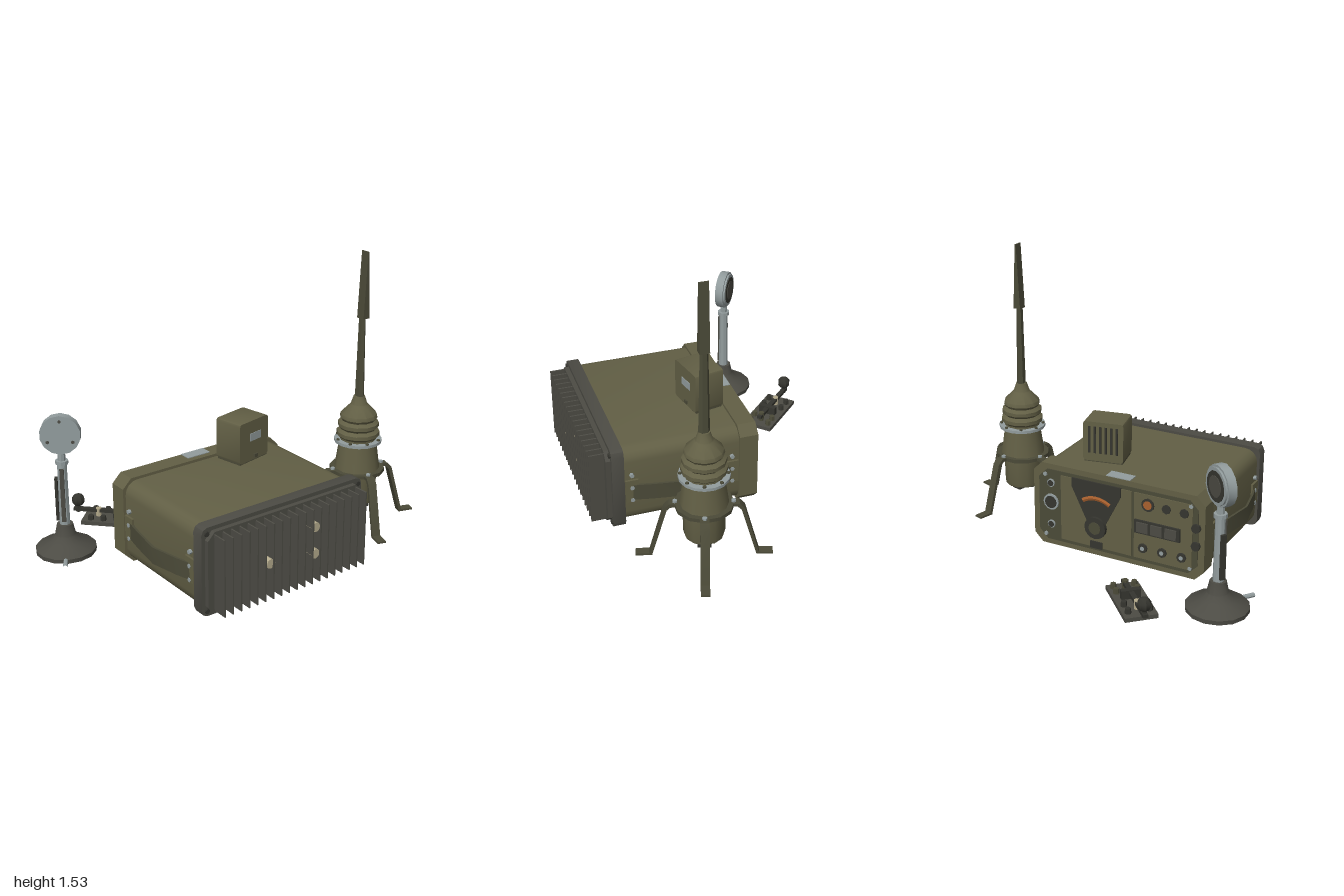
import * as THREE from 'three';
import { toCreasedNormals } from 'three/addons/utils/BufferGeometryUtils.js';

const material = (name, color) => {
  const m = new THREE.MeshStandardMaterial({ color });
  m.name = name;
  return m;
};
const olive = material('olive paint', 0x625f45);
const darkOlive = material('dark olive', 0x4b4a38);
const grey = material('heat sink grey', 0x4c4b44);
const black = material('dark fittings', 0x35352f);
const silver = material('pale metal', 0x929c9d);
const tan = material('tan plugs', 0xb3a98b);
const orange = material('orange markings', 0xa8602e);

function add(parent, name, geo, mat, x = 0, y = 0, z = 0) {
  const m = new THREE.Mesh(toCreasedNormals(geo, 0.6), mat);
  m.name = name;
  m.position.set(x, y, z);
  parent.add(m);
  return m;
}
function group(parent, name, x = 0, y = 0, z = 0, turn = 0) {
  const g = new THREE.Group();
  g.name = name;
  g.position.set(x, y, z);
  g.rotation.y = turn;
  parent.add(g);
  return g;
}
const box = (w, h, d) => new THREE.BoxGeometry(w, h, d);
const cyl = (top, bottom, h, sides = 12) => new THREE.CylinderGeometry(top, bottom, h, sides);
const discZ = (r, h, sides = 12) => cyl(r, r, h, sides).rotateX(Math.PI / 2);
const lathe = (pts, sides) => new THREE.LatheGeometry(pts.map(p => new THREE.Vector2(...p)), sides);
const plate = (pts, depth) => new THREE.ExtrudeGeometry(
  new THREE.Shape(pts.map(p => new THREE.Vector2(...p))), { depth, bevelEnabled: false });

// Centred rectangle with cut or stepped-round corners, extruded along z
function slab(w, h, c, depth, steps = 1) {
  const pts = [];
  [[1, 1], [-1, 1], [-1, -1], [1, -1]].forEach(([sx, sy], q) => {
    for (let i = 0; i <= steps; i++) {
      const a = (q + i / steps) * Math.PI / 2;
      pts.push([sx * (w / 2 - c) + c * Math.cos(a), sy * (h / 2 - c) + c * Math.sin(a)]);
    }
  });
  return plate(pts, depth);
}

function buildRadio(root) {
  const g = group(root, 'radio', -0.16, 0.245, 0);
  add(g, 'case', slab(0.97, 0.44, 0.07, 0.62, 4), olive, 0, 0, -0.07);
  add(g, 'panelBezel', slab(1.0, 0.47, 0.05, 0.1), olive, 0, 0, -0.17);
  add(g, 'rearFlange', slab(1.0, 0.47, 0.035, 0.065, 2), grey, 0, 0, 0.55);

  // Heat sink with vertical fins
  add(g, 'sinkPlate', slab(0.96, 0.43, 0.04, 0.025), grey, 0, 0, 0.615);
  for (let i = 0; i < 19; i++)
    add(g, 'fin', slab(0.007, 0.41, 0.003, 0.085), grey, -0.44 + i * 0.88 / 18, 0, 0.635);
  for (const [x, y] of [[-0.16, -0.01], [0.12, 0.1], [0.12, -0.045]])
    add(g, 'plug', discZ(0.026, 0.085, 8), tan, x, y, 0.67);
  for (const sx of [-1, 1]) for (const sy of [-1, 1])
    add(g, 'cornerBolt', discZ(0.013, 0.012, 8), black, sx * 0.472, sy * 0.205, 0.618);

  // Bowed strap handles on both sides
  for (const s of [-1, 1]) {
    const path = [[0.495, 0.03], [0.52, -0.06], [0.55, -0.22], [0.52, -0.4], [0.495, -0.52]];
    const band = [...path, ...path.map(([x, z]) => [x - 0.012, z]).reverse()];
    const strap = add(g, 'strapHandle', plate(band, 0.09).rotateX(-Math.PI / 2), darkOlive, 0, -0.075, 0);
    if (s < 0) {
      strap.position.z = 0.49;
      strap.rotation.y = Math.PI;
    }
    for (const z of [-0.03, 0.51]) {
      add(g, 'strapMount', box(0.012, 0.13, 0.07), olive, s * 0.492, -0.02, z);
      for (const y of [-0.075, 0, 0.075])
        add(g, 'strapScrew', cyl(0.012, 0.012, 0.016, 6).rotateZ(Math.PI / 2), silver, s * 0.494, y, z);
    }
  }
  add(g, 'topLabel', box(0.14, 0.006, 0.065), silver, -0.005, 0.236, -0.135);
  buildPanel(g);
}

// Control panel, facing -z; coordinates relative to the radio
function buildPanel(radio) {
  const g = group(radio, 'controlPanel', 0, 0, -0.17);
  add(g, 'panelFace', slab(0.93, 0.41, 0.05, 0.008), darkOlive, 0, 0, -0.005);
  add(g, 'tuningSection', box(0.42, 0.37, 0.008), olive, 0.12, 0, -0.006);
  add(g, 'switchSection', box(0.33, 0.37, 0.008), olive, -0.27, 0, -0.006);
  add(g, 'dialWindow', plate([[-0.03, 0.19], [-0.03, 0.14], [0.06, -0.04], [0.17, -0.04], [0.26, 0.14], [0.26, 0.19]], 0.008),
    black, 0, 0, -0.015);
  const arc = add(g, 'dialScale', new THREE.TorusGeometry(0.14, 0.012, 4, 10, 1.2), orange, 0.115, -0.04, -0.015);
  arc.rotation.z = Math.PI / 2 - 0.6;
  arc.scale.z = 0.4;
  add(g, 'tuningKnob', discZ(0.062, 0.025, 16), black, 0.115, -0.065, -0.018);
  add(g, 'tuningKnobCap', discZ(0.035, 0.008, 12), darkOlive, 0.115, -0.065, -0.031);
  add(g, 'namePlate', box(0.07, 0.04, 0.008), black, 0.115, -0.17, -0.012);
  // Connectors on the side of the dial
  for (const [y, r] of [[0.13, 0.022], [0.02, 0.045], [-0.11, 0.022]]) {
    add(g, 'socketRing', discZ(r, 0.014), silver, 0.39, y, -0.007);
    add(g, 'socketCore', discZ(r * 0.78, 0.018), black, 0.39, y, -0.008);
  }
  // Three-button block and rows of small controls
  add(g, 'buttonBlock', box(0.26, 0.075, 0.012), black, -0.24, 0.0, -0.014);
  for (let i = 0; i < 3; i++) {
    add(g, 'button', box(0.065, 0.055, 0.012), grey, -0.16 - i * 0.08, 0, -0.022);
    add(g, 'lowerKnob', discZ(0.026, 0.018, 8), black, -0.16 - i * 0.11, -0.12, -0.013);
    add(g, 'lowerKnobCap', discZ(0.012, 0.022, 8), silver, -0.16 - i * 0.11, -0.12, -0.014);
  }
  add(g, 'lampRing', discZ(0.036, 0.014), black, -0.185, 0.13, -0.01);
  add(g, 'lamp', discZ(0.024, 0.018), orange, -0.185, 0.13, -0.011);
  for (const [x, y] of [[-0.29, 0.13], [-0.39, 0.13], [-0.455, 0.06], [-0.455, -0.04]])
    add(g, 'smallSocket', discZ(0.025, 0.018, 8), black, x, y, -0.009);
  for (const sx of [-1, 1]) for (const sy of [-1, 1])
    add(g, 'panelScrew', discZ(0.012, 0.012, 6), silver, sx * 0.425, sy * 0.175, -0.006);
}

function buildTopBox(root) {
  const g = group(root, 'speakerBox', 0.01, 0.485, 0.045, 0.2);
  add(g, 'boxBody', slab(0.22, 0.22, 0.014, 0.165, 2), olive, 0, 0.115, -0.0825);
  add(g, 'boxFoot', box(0.21, 0.012, 0.155), darkOlive, 0, 0.004, 0);
  add(g, 'boxLabel', box(0.085, 0.042, 0.006), silver, 0.01, 0.135, 0.083);
  add(g, 'boxCatch', box(0.025, 0.02, 0.012), darkOlive, 0.01, 0.025, 0.084);
  for (let i = 0; i < 6; i++)
    add(g, 'vent', box(0.012, 0.15, 0.008), black, -0.075 + i * 0.03, 0.125, -0.082);
}

function buildAntenna(root) {
  const g = group(root, 'antenna', 0.66, 0, 0.232, -0.3);
  add(g, 'antennaBase', lathe([[0, 0.13], [0.1, 0.13], [0.105, 0.15], [0.108, 0.3], [0.125, 0.31],
    [0.122, 0.33], [0.102, 0.47], [0, 0.47]], 12), olive);
  add(g, 'bellows', lathe([[0, 0.48], [0.1, 0.485], [0.1, 0.5], [0.117, 0.515], [0.117, 0.535], [0.097, 0.55],
    [0.112, 0.565], [0.112, 0.585], [0.092, 0.6], [0.102, 0.615], [0.098, 0.635], [0.05, 0.685],
    [0.045, 0.69], [0.03, 0.735], [0, 0.735]], 12), olive);
  add(g, 'legCollar', cyl(0.15, 0.15, 0.02), darkOlive, 0, 0.312, 0);
  add(g, 'clampRing', cyl(0.13, 0.13, 0.016, 16), silver, 0, 0.482, 0);
  add(g, 'cableBox', box(0.06, 0.05, 0.07), black, 0.03, 0.108, 0);
  add(g, 'cablePlug', cyl(0.022, 0.022, 0.03, 8), black, -0.04, 0.12, 0.02);
  for (let i = 0; i < 8; i++) {
    const a = i * Math.PI / 4;
    add(g, 'ringBolt', cyl(0.009, 0.009, 0.012, 6), darkOlive, 0.118 * Math.cos(a), 0.492, 0.118 * Math.sin(a));
  }
  // Four bent strip legs
  const strip = [[0.1, 0.305], [0.165, 0.305], [0.185, 0.285], [0.262, 0.01], [0.345, 0.01],
    [0.345, 0.02], [0.275, 0.022], [0.202, 0.293], [0.175, 0.322], [0.1, 0.322]];
  for (let i = 0; i < 4; i++) {
    const leg = group(g, 'leg', 0, 0, 0, i * Math.PI / 2);
    add(leg, 'legStrip', plate(strip, 0.046), darkOlive, 0, 0, -0.023);
    add(leg, 'legBolt', cyl(0.013, 0.013, 0.014, 6), silver, 0.145, 0.325, 0);
  }
  // Two-stage whip with a blade-like tip
  const whip = group(g, 'whip', 0, 0, 0, 0.3);
  add(whip, 'lowerWhip', cyl(0.021, 0.03, 0.46, 6).scale(0.75, 1, 1), darkOlive, 0, 0.95, 0);
  const blade = box(0.042, 0.36, 0.05);
  const p = blade.attributes.position;
  for (let i = 0; i < p.count; i++) if (p.getY(i) > 0) p.setX(i, p.getX(i) * 0.15);
  blade.computeVertexNormals();
  add(whip, 'upperWhip', blade, darkOlive, 0.004, 1.35, 0.003);
}

function buildStand(root) {
  const g = group(root, 'microphoneStand', -0.83, 0, -0.385);
  add(g, 'standBase', lathe([[0, 0.012], [0.16, 0.012], [0.162, 0.035], [0.15, 0.045], [0.085, 0.075],
    [0.055, 0.11], [0.042, 0.17], [0, 0.17]], 14), grey);
  for (let i = 0; i < 3; i++) {
    const a = i * Math.PI * 2 / 3;
    add(g, 'baseFoot', cyl(0.018, 0.018, 0.015, 8), black, 0.12 * Math.cos(a), 0.0075, 0.12 * Math.sin(a));
  }
  const cable = new THREE.LineCurve3(new THREE.Vector3(-0.07, 0.03, 0.12), new THREE.Vector3(-0.115, 0.025, 0.19));
  add(g, 'cableStub', new THREE.TubeGeometry(cable, 1, 0.012, 8), silver);
  const top = group(g, 'microphone', 0, 0, 0, -0.63);
  add(top, 'post', cyl(0.025, 0.028, 0.36, 10), silver, 0, 0.35, 0);
  add(top, 'postCollar', cyl(0.034, 0.034, 0.02, 10), silver, 0, 0.52, 0);
  add(top, 'neck', cyl(0.02, 0.02, 0.07, 8), silver, 0, 0.55, 0);
  add(top, 'talkBar', box(0.014, 0.24, 0.028), black, -0.035, 0.31, 0);
  add(top, 'postStrip', box(0.022, 0.3, 0.012), grey, 0, 0.34, 0.026);
  // Round head: pale shell, dark grille at the back
  add(top, 'headShell', discZ(0.106, 0.046, 14), silver, 0, 0.675, 0);
  add(top, 'headRim', discZ(0.095, 0.012, 14), silver, 0, 0.675, -0.027);
  add(top, 'grille', discZ(0.078, 0.006, 14), black, 0, 0.675, -0.033);
  add(top, 'grilleCore', discZ(0.055, 0.006, 12), grey, 0, 0.675, -0.036);
  for (let i = 0; i < 3; i++) {
    const a = Math.PI / 2 + i * Math.PI * 2 / 3;
    add(top, 'headScrew', discZ(0.009, 0.008, 6), grey, 0.075 * Math.cos(a), 0.675 + 0.075 * Math.sin(a), 0.023);
  }
}

function buildKey(root) {
  // Local -x points toward the finger knob
  const g = group(root, 'signalKey', -0.437, 0, -0.537, -0.8);
  add(g, 'keyBase', box(0.34, 0.022, 0.17), grey, 0, 0.022, 0);
  add(g, 'keyArm', box(0.37, 0.018, 0.026), black, -0.045, 0.066, 0);
  add(g, 'armPivot', box(0.03, 0.05, 0.1), black, 0.02, 0.055, 0);
  add(g, 'knobStem', cyl(0.012, 0.012, 0.05, 6), black, -0.205, 0.075, 0);
  add(g, 'fingerKnob', new THREE.SphereGeometry(0.037, 8, 5), black, -0.205, 0.12, 0);
  for (const z of [-0.055, 0.055]) for (const x of [-0.12, -0.05, 0.08, 0.135])
    add(g, 'terminal', cyl(0.015, 0.018, 0.03, 6), x > 0 ? darkOlive : black, x, 0.045, z);
  add(g, 'contactPost', cyl(0.016, 0.016, 0.05, 8), tan, -0.09, 0.055, 0);
  add(g, 'springPost', cyl(0.016, 0.016, 0.05, 8), darkOlive, 0.11, 0.06, 0);
}

export function createModel() {
  const root = new THREE.Group();
  root.name = 'fieldRadioSet';
  buildRadio(root);
  buildTopBox(root);
  buildAntenna(root);
  buildStand(root);
  buildKey(root);
  return root;
}
